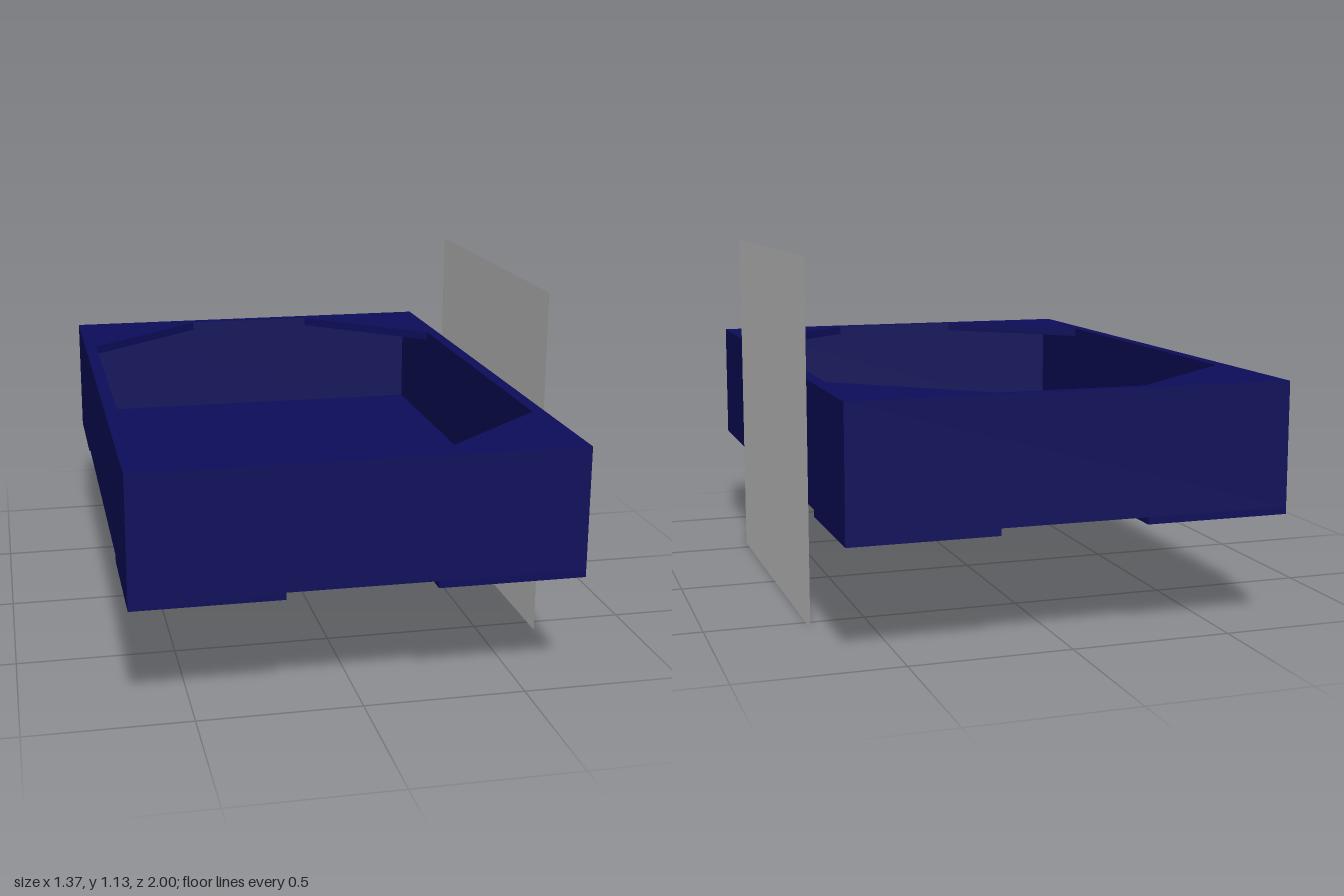
import * as THREE from 'three';

// Outer half sizes, inner half sizes and the inner ends of the corner pieces
const W = 0.68, D = 1.0, IW = 0.64, ID = 0.96, CX = 0.227, CZ = 0.6;
const BOTTOM = 0.355, BASE = 0.377, FLOOR = 0.417, TOP = 0.76, GUSSET = 0.03;

const rect = (path, w, d) => {
  path.moveTo(-w, -d);
  path.lineTo(w, -d);
  path.lineTo(w, d);
  path.lineTo(-w, d);
  path.closePath();
  return path;
};

// Extrude a plan shape upwards from y0 to y1
const raise = (shape, y0, y1) =>
  new THREE.ExtrudeGeometry(shape, { depth: y1 - y0, bevelEnabled: false })
    .rotateX(-Math.PI / 2)
    .translate(0, y0, 0);

export function createModel() {
  const model = new THREE.Group();
  const navy = new THREE.MeshStandardMaterial({ color: 0x0d0d5a });
  navy.name = 'navy';
  const grey = new THREE.MeshStandardMaterial({ color: 0xcacaca, side: THREE.DoubleSide });
  grey.name = 'light grey';

  const add = (name, geometry, material, parent) => {
    const mesh = new THREE.Mesh(geometry, material);
    mesh.name = name;
    parent.add(mesh);
    return mesh;
  };

  const tray = new THREE.Group();
  tray.name = 'tray';
  tray.position.x = -0.005;
  model.add(tray);

  // Four walls in one rectangular ring, and the floor inside it
  const ring = rect(new THREE.Shape(), W, D);
  ring.holes.push(rect(new THREE.Path(), IW, ID));
  add('walls', raise(ring, BASE, TOP), navy, tray);
  add('floor', raise(rect(new THREE.Shape(), IW, ID), BASE, FLOOR), navy, tray);

  // Triangular rim plates and low feet in each corner
  for (const sx of [-1, 1]) {
    for (const sz of [-1, 1]) {
      const corner = new THREE.Shape([
        new THREE.Vector2(sx * IW, sz * CZ),
        new THREE.Vector2(sx * IW, sz * ID),
        new THREE.Vector2(sx * CX, sz * ID),
      ]);
      add('cornerPlate', raise(corner, TOP - GUSSET, TOP), navy, tray);

      const foot = new THREE.BoxGeometry(W - CX, BASE - BOTTOM, D - CZ);
      add('foot', foot, navy, tray)
        .position.set(sx * (W + CX) / 2, (BASE + BOTTOM) / 2, sz * (D + CZ) / 2);
    }
  }

  // Thin square panel standing beside the tray
  const panel = new THREE.PlaneGeometry(1.13, 1.13).rotateY(Math.PI / 2);
  add('sidePanel', panel, grey, model).position.set(0.685, 0.565, 0);

  return model;
}
